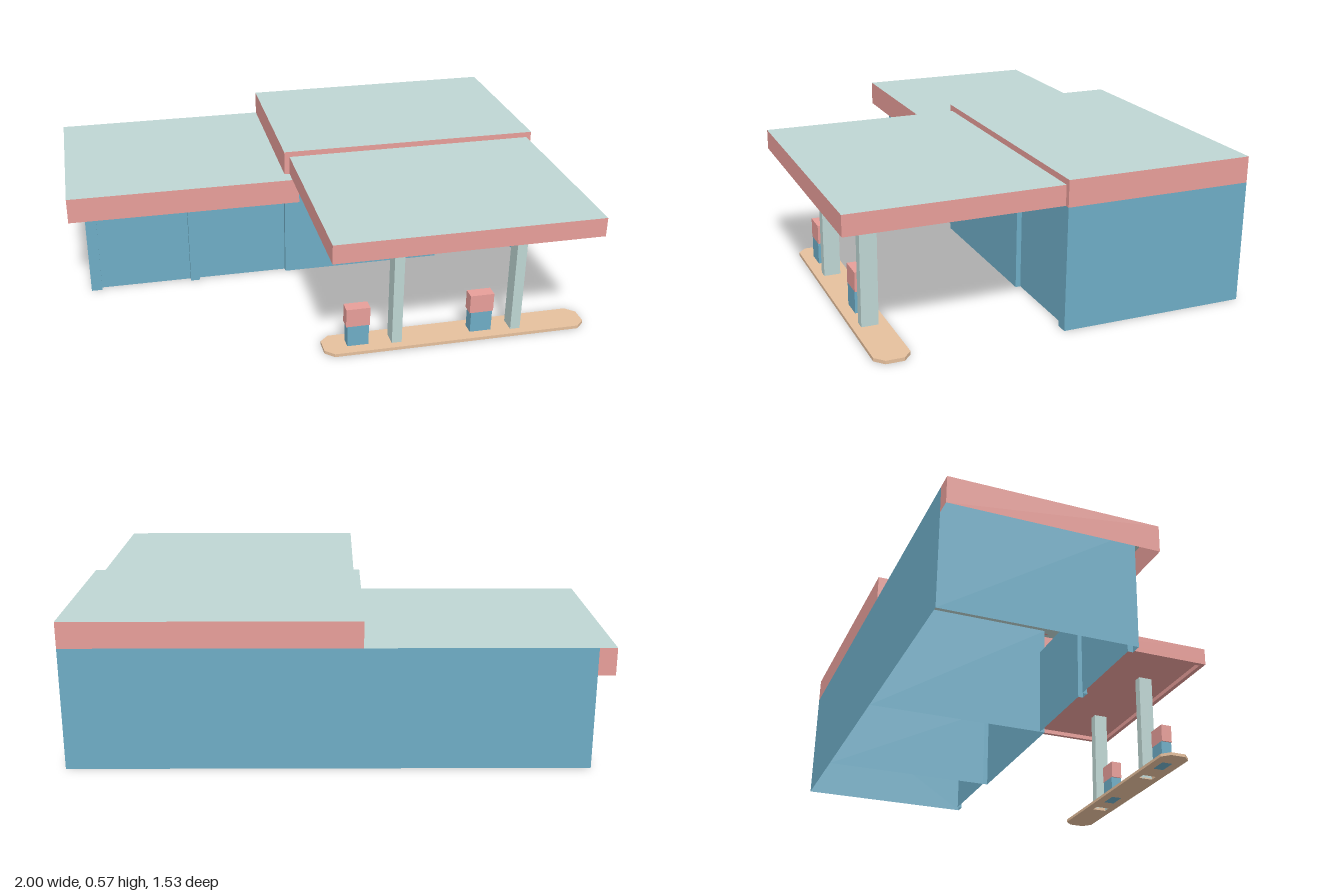
import * as THREE from 'three';

const mat = (name, color) =>
  new THREE.MeshStandardMaterial({ name, color, side: THREE.DoubleSide });

export function createModel() {
  const blue = mat('wall blue', 0x6eacc5);
  const red = mat('fascia red', 0xe79e99);
  const grey = mat('roof grey', 0xbed6d3);
  const tan = mat('island tan', 0xe6c09d);

  const model = new THREE.Group();
  model.name = 'fillingStation';

  const add = (name, geometry, material) => {
    const mesh = new THREE.Mesh(geometry, material);
    mesh.name = name;
    model.add(mesh);
    return mesh;
  };

  // Box given by its limits
  const box = (name, [x0, x1], [y0, y1], [z0, z1], material) =>
    add(name, new THREE.BoxGeometry(x1 - x0, y1 - y0, z1 - z0), material)
      .position.set((x0 + x1) / 2, (y0 + y1) / 2, (z0 + z1) / 2);

  // Upright wall following a plan line of [x, z] points
  const wall = (name, plan, y0, y1, material) => {
    const pos = [];
    for (let i = 0; i + 1 < plan.length; i++) {
      const [ax, az] = plan[i], [bx, bz] = plan[i + 1];
      pos.push(ax, y0, az, bx, y0, bz, bx, y1, bz, ax, y0, az, bx, y1, bz, ax, y1, az);
    }
    const g = new THREE.BufferGeometry();
    g.setAttribute('position', new THREE.Float32BufferAttribute(pos, 3));
    g.computeVertexNormals();
    return add(name, g, material);
  };

  // Plan outline of [x, z] points as a shape, to be laid flat or raised as a slab
  const outline = (pts, Kind = THREE.Shape) =>
    new Kind(pts.map(([x, z]) => new THREE.Vector2(x, -z)));
  const rect = (x0, x1, z0, z1) => [[x0, z1], [x1, z1], [x1, z0], [x0, z0]];
  const flat = (name, pts, y, material) => {
    add(name, new THREE.ShapeGeometry(outline(pts)).rotateX(-Math.PI / 2), material).position.y = y;
  };
  const slab = (shape, depth) =>
    new THREE.ExtrudeGeometry(shape, { depth, bevelEnabled: false }).rotateX(-Math.PI / 2);

  const back = -0.766, front = -0.035, recess = front - 0.02;
  const left = -0.935, mid = -0.095, right = 1;
  const eave = 0.362, top = 0.467;
  const door0 = 0.59, door1 = 0.955;

  // Shared shell with an open floor, and the walls between its rooms
  wall('outerWalls', [[right, front], [right, back], [left, back], [left, front]], 0, top, blue);
  wall('dividingWall', [[mid, back], [mid, front]], 0, top, blue);
  wall('dividingWall', [[door0, back], [door0, recess]], 0, eave, blue);

  // Garage front with two recessed bays
  wall('garageFront', [
    [left, front], [-0.89, front], [-0.89, recess], [-0.511, recess], [-0.511, front],
    [-0.473, front], [-0.473, recess], [mid, recess],
  ], 0, eave, blue);

  // Shop front with recessed entrance, and the ceiling level with its head
  wall('shopFront', [
    [mid, front], [door0, front], [door0, recess], [door1, recess], [door1, front], [right, front],
  ], 0, eave, blue);
  wall('shopHeader', [[mid, front], [right, front]], eave, top, blue);
  flat('shopCeiling', rect(mid, right, back, front), eave, blue);

  // Garage roof with hollow overhanging fascia
  wall('garageFascia',
    [[left, back], [-1, back], [-1, 0.03], [-0.045, 0.03], [-0.045, front]], eave, top, red);
  flat('garageRoof', [
    [-1, 0.03], [-0.045, 0.03], [-0.045, front], [mid, front], [mid, back], [-1, back],
  ], top, grey);

  // Shop roof: red sides, grey top
  box('shopRoof', [mid, right], [top, 0.567], [back, front], [red, red, grey, blue, red, red]);

  // Canopy with a rim around its soffit
  const cx0 = -0.073, cx1 = 0.98, cz1 = 0.766, lip = 0.02, soffit = top + 0.02;
  box('canopyRoof', [cx0, cx1], [soffit, 0.544], [front, cz1], [red, red, grey, red, red, red]);
  const rim = outline(rect(cx0, cx1, front, cz1));
  rim.holes.push(outline(rect(cx0 + lip, cx1 - lip, front + lip, cz1 - lip), THREE.Path));
  add('canopyRim', slab(rim, soffit - top), red).position.y = top;

  // Pump island with chamfered ends, cut out around what stands on it
  const columns = [[0.2, 0.24], [0.69, 0.73]].map(([a, b]) => rect(a, b, 0.57, 0.635));
  const pumps = [[0.024, 0.109], [0.525, 0.612]];
  const pumpZ = [0.573, 0.622];
  const island = outline([
    [-0.035, 0.667], [0.965, 0.667], [1, 0.634], [1, 0.566],
    [0.965, 0.533], [-0.035, 0.533], [-0.07, 0.566], [-0.07, 0.634],
  ]);
  for (const plan of [...columns, ...pumps.map(([a, b]) => rect(a, b, ...pumpZ))])
    island.holes.push(outline(plan, THREE.Path));
  add('pumpIsland', slab(island, 0.013), tan);

  // Hollow columns and solid pumps
  columns.forEach(plan => wall('canopyColumn', [...plan, plan[0]], 0, soffit, grey));
  pumps.forEach(([a, b]) => {
    box('pumpBase', [a, b], [0, 0.1], pumpZ, blue);
    box('pumpHead', [a - 0.006, b + 0.004], [0.1, 0.177], pumpZ, red);
  });

  return model;
}
